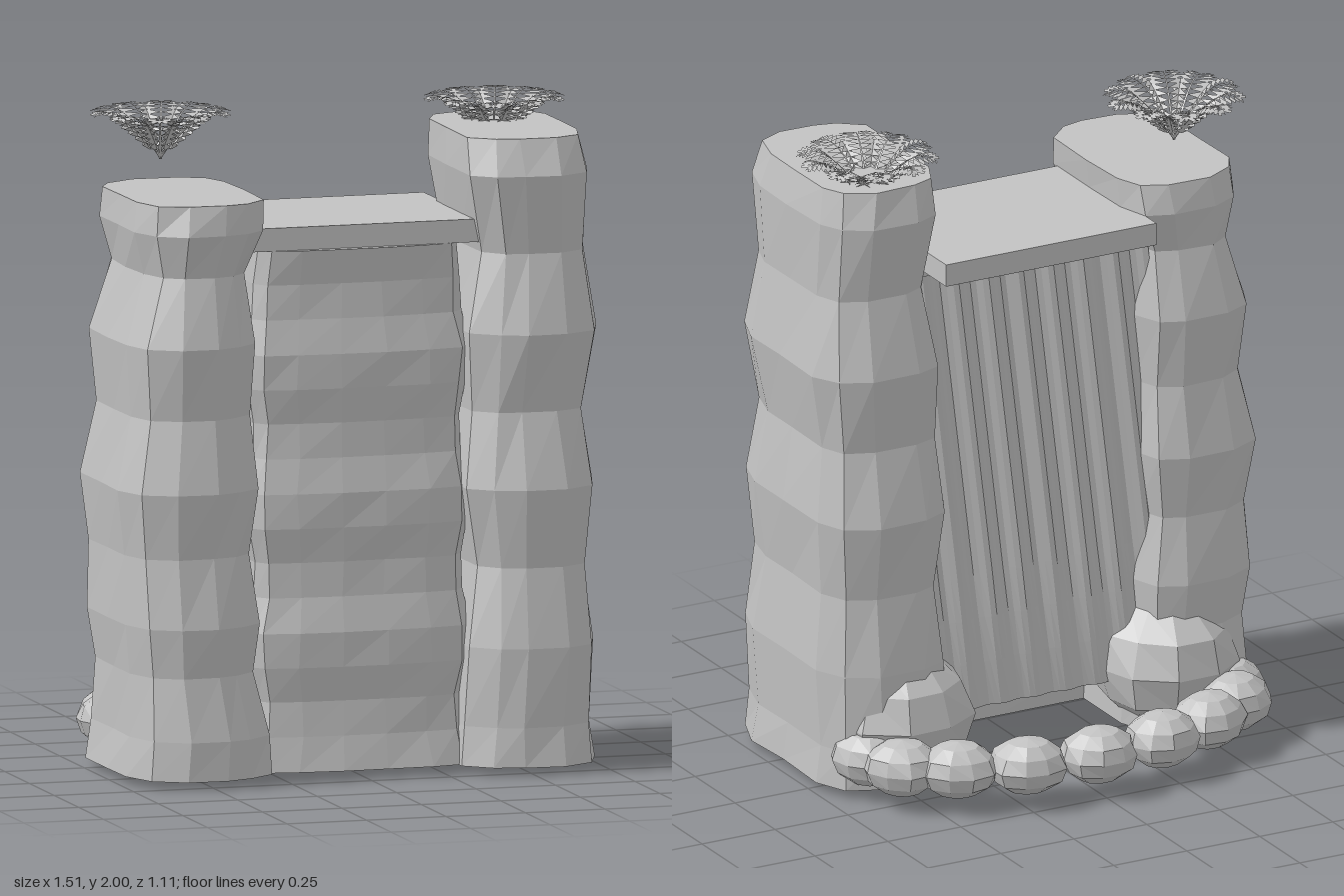
import * as THREE from 'three';

const stone = new THREE.MeshStandardMaterial({ color: 0xc2c2c2, flatShading: true, side: THREE.DoubleSide });
stone.name = 'pale grey';

// Small seeded random in -1..1
function seeded(seed) {
  let s = seed;
  return () => {
    s = (s * 16807) % 2147483647;
    return (s / 2147483647) * 2 - 1;
  };
}

function fromTriangles(points) {
  const g = new THREE.BufferGeometry();
  g.setAttribute('position', new THREE.Float32BufferAttribute(points.flat(), 3));
  g.computeVertexNormals();
  return g;
}

function add(parent, name, geometry) {
  const m = new THREE.Mesh(geometry, stone);
  m.name = name;
  parent.add(m);
  return m;
}

// Faceted rock column: an outline in -1..1 fitted to rings of [y, x0, x1, z0, z1]
function rockLoft(outline, rings, jitter, seed) {
  const rnd = seeded(seed), n = outline.length, last = rings.length - 1;
  const rows = rings.map(([y, x0, x1, z0, z1]) => outline.map(([u, v]) => [
    (x0 + x1) / 2 + u * (x1 - x0) / 2 + rnd() * jitter,
    y,
    (z0 + z1) / 2 + v * (z1 - z0) / 2 + rnd() * jitter,
  ]));
  const centre = ([y, x0, x1, z0, z1]) => [(x0 + x1) / 2, y, (z0 + z1) / 2];
  const tris = [];
  for (let i = 0; i < n; i++) {
    const j = (i + 1) % n;
    for (let r = 0; r < last; r++) {
      const a = rows[r][i], b = rows[r][j], c = rows[r + 1][i], d = rows[r + 1][j];
      tris.push(a, c, b, b, c, d);
    }
    tris.push(centre(rings[0]), rows[0][i], rows[0][j]);
    tris.push(centre(rings[last]), rows[last][j], rows[last][i]);
  }
  return fromTriangles(tris);
}

// Uneven low-poly boulder
function boulder(rx, ry, rz, seed, jitter) {
  const g = new THREE.SphereGeometry(1, 10, 6);
  const p = g.attributes.position, v = new THREE.Vector3();
  for (let i = 0; i < p.count; i++) {
    v.fromBufferAttribute(p, i);
    const k = 1 + jitter * Math.sin(v.x * 4 + seed * 1.7) * Math.cos(v.z * 4 + v.y * 2 + seed);
    p.setXYZ(i, v.x * rx * k, v.y * ry, v.z * rz * k);
  }
  g.computeVertexNormals();
  return g;
}

// One arching frond along +x: a thin stem with pairs of broad, pointed leaflets
function frondGeometry() {
  const spine = (t) => [0.212 * t, 0.15 * Math.sin(2 * t), 0];
  const tris = [], steps = 14;
  for (let i = 0; i < steps; i++) {
    const t = i / steps, a = spine(t), b = spine((i + 1) / steps);
    const w = 0.003 * (1 - t) + 0.001;
    const off = (p, dz) => [p[0], p[1], dz];
    tris.push(off(a, w), off(b, w), off(a, -w), off(b, w), off(b, -w), off(a, -w));
    if (i < 2) continue;
    const len = 0.076 * Math.sin(Math.PI * (0.02 + 0.9 * t));
    const slope = (b[1] - a[1]) / (b[0] - a[0]);
    for (const s of [-1, 1]) {
      const at = (f, along) => [a[0] + len * f * 0.42 + along, a[1] + slope * along - len * f * 0.06, s * len * f * 0.88];
      const root = at(0, 0), tip = at(1, 0.002), back = at(0.55, -0.008), front = at(0.6, 0.01);
      if (s > 0) tris.push(root, back, tip, root, tip, front);
      else tris.push(root, tip, back, root, front, tip);
    }
  }
  // Pointed end leaflet
  const e = spine(0.9);
  tris.push([e[0], e[1], -0.01], [e[0], e[1], 0.01], spine(1));
  return fromTriangles(tris);
}

function fern(name, x, z, geometry) {
  const g = new THREE.Group();
  g.name = name;
  const count = 10;
  for (let i = 0; i < count; i++) add(g, 'frond', geometry).rotation.y = (i / count) * Math.PI * 2;
  g.position.set(x, 1.85, z);
  return g;
}

export function createModel() {
  const model = new THREE.Group();
  model.name = 'rockWaterfall';

  // Side pillars, rings swelling in and out
  const outline = [
    [-1, -0.6], [-0.8, -0.86], [-0.35, -1], [0.4, -1], [0.8, -0.9], [1, -0.6], [1, 0], [1, 0.74],
    [0.64, 0.93], [0.25, 1], [-0.35, 1], [-0.8, 0.85], [-1, 0.5], [-1, 0],
  ];
  const mirrored = outline.map(([u, v]) => [-u, v]).reverse();
  const shortRings = [
    [0.03, -0.73, -0.3, -0.18, 0.54], [0.15, -0.72, -0.31, -0.18, 0.54], [0.34, -0.71, -0.35, -0.15, 0.51],
    [0.49, -0.735, -0.34, -0.17, 0.53], [0.7, -0.73, -0.36, -0.14, 0.5], [0.9, -0.755, -0.34, -0.17, 0.53],
    [1.12, -0.71, -0.36, -0.13, 0.49], [1.34, -0.73, -0.345, -0.16, 0.52], [1.55, -0.67, -0.37, -0.11, 0.47],
    [1.68, -0.7, -0.315, -0.13, 0.5], [1.77, -0.69, -0.31, -0.11, 0.48],
  ];
  const tallRings = [
    [0.03, 0.3, 0.735, -0.18, 0.56], [0.15, 0.31, 0.725, -0.18, 0.545], [0.39, 0.32, 0.735, -0.17, 0.555],
    [0.63, 0.35, 0.71, -0.145, 0.51], [0.87, 0.31, 0.74, -0.175, 0.54], [1.1, 0.34, 0.71, -0.13, 0.49],
    [1.34, 0.33, 0.745, -0.16, 0.53], [1.58, 0.37, 0.71, -0.1, 0.48], [1.82, 0.33, 0.72, -0.135, 0.52],
    [1.93, 0.335, 0.7, -0.11, 0.48],
  ];
  add(model, 'shortPillar', rockLoft(outline, shortRings, 0.006, 11));
  add(model, 'tallPillar', rockLoft(mirrored, tallRings, 0.006, 29));

  // Front rock wall between the pillars
  const wallRings = [];
  for (let i = 0; i <= 15; i++) {
    const y = 0.03 + (i / 15) * 1.58;
    const swell = 0.014 * Math.cos(i * Math.PI / 2 + 0.6);
    const half = 0.335 + swell - (i === 15 ? 0.03 : 0);
    wallRings.push([y, -half, half, 0.2, 0.44 + swell - 0.035 * (i / 15)]);
  }
  const wallOutline = [
    [-1, -1], [0, -1], [1, -1], [1, 0.4], [0.9, 0.8], [0.6, 0.95], [0.2, 1], [-0.2, 1], [-0.6, 0.95], [-0.9, 0.8], [-1, 0.4],
  ];
  add(model, 'frontWall', rockLoft(wallOutline, wallRings, 0.004, 5));

  // Top slab
  const slab = add(model, 'topSlab', new THREE.BoxGeometry(0.72, 0.07, 0.56));
  slab.position.set(0.01, 1.645, 0.11);

  // Falling water sheet: soft folds sheared sideways, sides tucked into the pillars
  const sheet = new THREE.PlaneGeometry(0.92, 1.43, 54, 10);
  const p = sheet.attributes.position;
  for (let i = 0; i < p.count; i++) {
    const x = p.getX(i), y = p.getY(i);
    p.setX(i, x + 0.12 * y);
    p.setZ(i, 0.014 * Math.sin(x * 58) * Math.min(1, 0.4 + (y + 0.72) * 1.5));
  }
  sheet.computeVertexNormals();
  add(model, 'waterSheet', sheet).position.set(0, 0.895, -0.05);

  // Large boulders at the pillar feet and the ring of pool stones
  for (const s of [-1, 1]) {
    add(model, 'footBoulder', boulder(0.23, 0.21, 0.235, s + 2, 0.06)).position.set(s * 0.46, 0.215, -0.02);
  }
  const stones = [[0, -0.45], [0.23, -0.427], [0.43, -0.355], [0.57, -0.26], [0.615, -0.135]];
  stones.forEach(([x, z], i) => {
    for (const s of i ? [-1, 1] : [1]) {
      const rock = add(model, 'poolStone', boulder(0.122, 0.087, 0.108, i * 2 + s, 0.06));
      rock.position.set(s * x, 0.13, z);
      rock.rotation.y = -s * i * 0.2;
    }
  });

  // Ferns above the pillars
  const frond = frondGeometry();
  model.add(fern('shortPillarFern', -0.52, 0.03, frond), fern('tallPillarFern', 0.53, 0.03, frond));
  return model;
}
